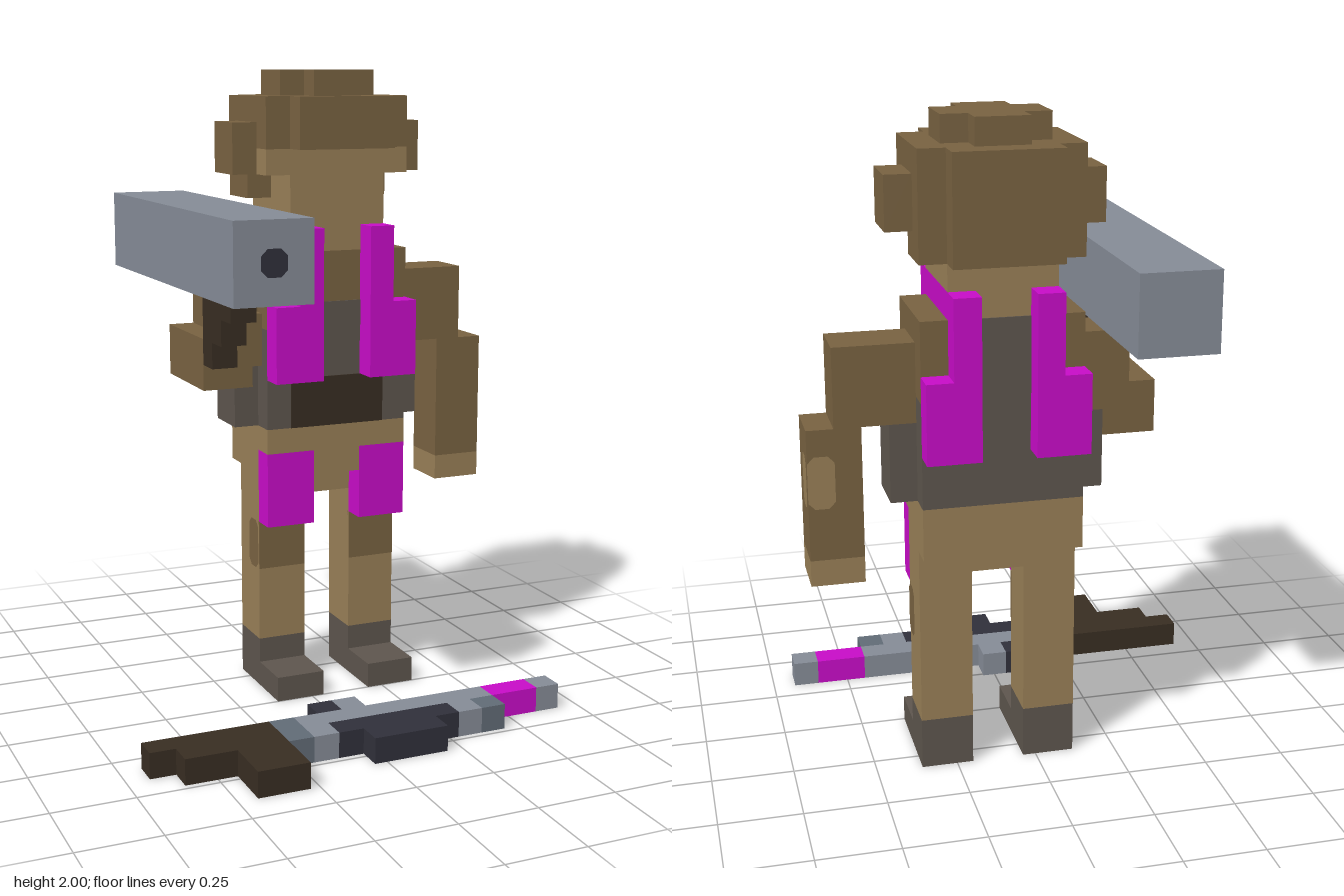
import * as THREE from 'three';

const U = 0.08; // block size

function mat(name, color) {
  const m = new THREE.MeshStandardMaterial({ color });
  m.name = name;
  return m;
}

export function createModel() {
  const khaki = mat('khaki', 0x987f57);
  const brown = mat('brown', 0x786241);
  const cloth = mat('greyCloth', 0x5d554d);
  const wood = mat('darkWood', 0x382d22);
  const magenta = mat('magenta', 0xc70cc7);
  const steel = mat('steel', 0x858b96);
  const slate = mat('slate', 0x616b76);
  const navy = mat('navy', 0x30303a);

  const model = new THREE.Group();
  model.name = 'soldier';
  const part = (name) => {
    const g = new THREE.Group();
    g.name = name;
    model.add(g);
    return g;
  };
  // Box between two corners
  const box = (g, name, m, x0, x1, y0, y1, z0, z1) => {
    const mesh = new THREE.Mesh(new THREE.BoxGeometry(x1 - x0, y1 - y0, z1 - z0), m);
    mesh.position.set((x0 + x1) / 2, (y0 + y1) / 2, (z0 + z1) / 2);
    mesh.name = name;
    g.add(mesh);
    return mesh;
  };
  // Two boxes mirrored about the body's middle, x = 0.12
  const pair = (g, name, m, x0, x1, ...r) => {
    box(g, name + 'Left', m, x0, x1, ...r);
    box(g, name + 'Right', m, 0.24 - x1, 0.24 - x0, ...r);
  };
  // Thin patch with clipped corners, facing +z
  const patch = (g, name, m, w, h, x, y, z, rotY = 0) => {
    const a = w / 2, b = h / 2, c = U / 4;
    const s = new THREE.Shape([[-a + c, -b], [a - c, -b], [a, -b + c], [a, b - c],
      [a - c, b], [-a + c, b], [-a, b - c], [-a, -b + c]].map(p => new THREE.Vector2(...p)));
    const mesh = new THREE.Mesh(new THREE.ShapeGeometry(s), m);
    mesh.position.set(x, y, z);
    mesh.rotation.y = rotY;
    mesh.name = name;
    g.add(mesh);
  };

  // Head
  const head = part('head');
  box(head, 'face', khaki, -0.04, 0.28, 1.52, 1.76, -0.40, -0.08);
  pair(head, 'cheek', khaki, 0.28, 0.36, 1.68, 1.76, -0.16, -0.08);
  box(head, 'neck', khaki, 0.04, 0.20, 1.44, 1.52, -0.40, -0.08);

  // Hair and ear pieces
  const hair = part('hair');
  box(hair, 'crownLong', brown, 0.04, 0.20, 1.92, 2.00, -0.40, -0.08);
  pair(hair, 'crownSide', brown, 0.20, 0.28, 1.92, 2.00, -0.32, -0.16);
  box(hair, 'cap', brown, -0.12, 0.36, 1.76, 1.92, -0.40, -0.08);
  box(hair, 'fringe', brown, -0.04, 0.28, 1.76, 1.92, -0.08, 0);
  box(hair, 'backHair', brown, -0.04, 0.28, 1.60, 1.92, -0.48, -0.40);
  pair(hair, 'sideHair', brown, 0.28, 0.36, 1.68, 1.76, -0.40, -0.16);
  pair(hair, 'lowerSideHair', brown, 0.28, 0.36, 1.60, 1.68, -0.40, -0.24);
  pair(hair, 'earPiece', brown, 0.36, 0.44, 1.68, 1.84, -0.32, -0.16);

  // Torso
  const torso = part('torso');
  box(torso, 'shirt', cloth, -0.12, 0.36, 0.88, 1.20, -0.40, -0.08);
  box(torso, 'chest', brown, -0.12, 0.36, 1.20, 1.44, -0.40, -0.08);
  box(torso, 'chestPanel', cloth, 0.04, 0.20, 1.20, 1.28, -0.09, -0.076);
  box(torso, 'backPanel', cloth, 0.04, 0.20, 1.20, 1.44, -0.404, -0.39);
  box(torso, 'beltFront', wood, -0.04, 0.28, 0.88, 1.04, -0.09, -0.076);
  pair(torso, 'pouch', cloth, 0.36, 0.44, 0.88, 1.12, -0.32, -0.16);

  // Vest straps, front, back and over the shoulders
  const vest = part('vest');
  pair(vest, 'shoulderStrap', magenta, 0.20, 0.28, 1.44, 1.52, -0.48, 0);
  for (const [side, z] of [['front', -0.08], ['back', -0.48]]) {
    pair(vest, side + 'Strap', magenta, 0.20, 0.28, 1.04, 1.44, z, z + U);
    pair(vest, side + 'Pocket', magenta, 0.28, 0.36, 1.04, 1.28, z, z + U);
  }

  // Hips and legs
  const legs = part('legs');
  box(legs, 'waist', khaki, -0.12, 0.36, 0.80, 0.88, -0.40, -0.08);
  box(legs, 'hips', khaki, -0.12, 0.36, 0.72, 0.80, -0.40, -0.16);
  box(legs, 'hipFront', khaki, 0.04, 0.20, 0.72, 0.80, -0.16, -0.08);
  box(legs, 'crotch', khaki, 0.04, 0.20, 0.64, 0.72, -0.32, -0.16);
  pair(legs, 'leg', khaki, 0.20, 0.36, 0.16, 0.72, -0.32, -0.16);
  pair(legs, 'thighPad', magenta, 0.20, 0.36, 0.56, 0.80, -0.16, -0.08);
  pair(legs, 'shinPatch', brown, 0.20, 0.36, 0.40, 0.56, -0.17, -0.157);
  pair(legs, 'boot', cloth, 0.20, 0.36, 0, 0.16, -0.32, -0.16);
  pair(legs, 'toe', cloth, 0.20, 0.36, 0, 0.08, -0.16, 0);
  patch(legs, 'kneePatchLeft', brown, 0.08, 0.16, 0.363, 0.48, -0.20, Math.PI / 2);
  patch(legs, 'kneePatchRight', brown, 0.08, 0.16, -0.123, 0.48, -0.20, -Math.PI / 2);

  // Hanging left arm
  const leftArm = part('leftArm');
  box(leftArm, 'upperArm', brown, 0.36, 0.60, 1.12, 1.36, -0.32, -0.16);
  box(leftArm, 'forearm', brown, 0.52, 0.68, 0.72, 1.12, -0.32, -0.16);
  box(leftArm, 'hand', khaki, 0.52, 0.68, 0.64, 0.72, -0.32, -0.16);
  patch(leftArm, 'sleevePatch', khaki, 0.08, 0.16, 0.683, 0.96, -0.28, Math.PI / 2);
  patch(leftArm, 'sleevePatchBack', khaki, 0.08, 0.16, 0.64, 0.96, -0.323, Math.PI);

  // Raised right arm
  const rightArm = part('rightArm');
  box(rightArm, 'upperArm', brown, -0.28, -0.12, 1.12, 1.36, -0.32, -0.16);
  box(rightArm, 'forearm', brown, -0.36, -0.20, 1.04, 1.20, -0.32, 0);
  box(rightArm, 'hand', brown, -0.28, -0.20, 1.12, 1.28, -0.08, 0.08);

  // Shoulder launcher
  const launcher = part('launcher');
  box(launcher, 'tube', steel, -0.44, -0.20, 1.36, 1.60, -0.64, 0.48);
  patch(launcher, 'muzzle', navy, 0.08, 0.08, -0.32, 1.48, 0.483);
  box(launcher, 'gripRail', wood, -0.36, -0.28, 1.28, 1.36, 0, 0.24);
  box(launcher, 'trigger', wood, -0.36, -0.28, 1.20, 1.28, 0, 0.16);
  box(launcher, 'grip', wood, -0.36, -0.28, 1.12, 1.20, 0, 0.08);

  // Rifle lying on the ground: [name, material, x0, x1, z0, z1]
  const rifle = part('rifle');
  const pieces = [
    ['stockTop', wood, -0.68, -0.28, 0.32, 0.40],
    ['stockLower', wood, -0.60, -0.28, 0.40, 0.48],
    ['pistolGrip', wood, -0.44, -0.28, 0.48, 0.64],
    ['receiver', steel, -0.20, 0.44, 0.32, 0.40],
    ['receiverRear', slate, -0.28, -0.20, 0.32, 0.48],
    ['receiverLower', steel, -0.20, -0.12, 0.40, 0.48],
    ['handguard', navy, -0.12, 0.28, 0.40, 0.48],
    ['magazine', navy, -0.04, 0.20, 0.48, 0.56],
    ['gasBlock', steel, 0.28, 0.36, 0.40, 0.48],
    ['gasBlockTip', slate, 0.36, 0.44, 0.40, 0.48],
    ['sightRear', navy, -0.12, -0.04, 0.24, 0.32],
    ['sightFront', steel, -0.04, 0.04, 0.24, 0.32],
    ['barrelBand', magenta, 0.44, 0.60, 0.32, 0.40],
    ['barrelTip', steel, 0.60, 0.68, 0.32, 0.40],
  ];
  for (const [name, m, x0, x1, z0, z1] of pieces) box(rifle, name, m, x0, x1, 0, U, z0, z1);

  return model;
}
